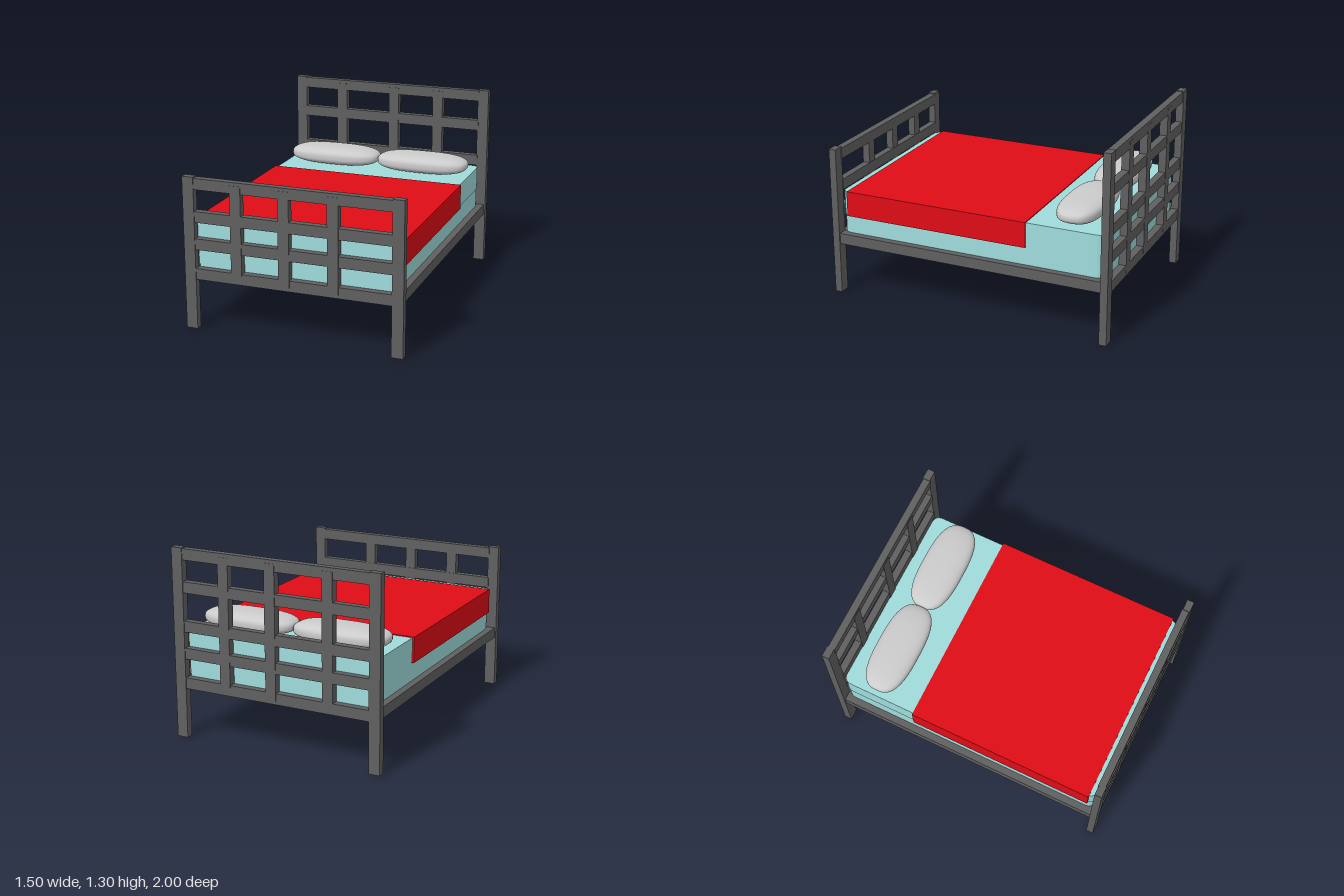
import * as THREE from 'three';

const material = (color) => new THREE.MeshStandardMaterial({ color });
const wood = material(0x606060);
const sheet = material(0xa0dcdc);
const red = material(0xe00c16);
const grey = material(0xcccccc);

// Box given by its lower and upper limits on each axis
function box(name, mat, [x0, x1], [y0, y1], [z0, z1]) {
  const mesh = new THREE.Mesh(new THREE.BoxGeometry(x1 - x0, y1 - y0, z1 - z0), mat);
  mesh.position.set((x0 + x1) / 2, (y0 + y1) / 2, (z0 + z1) / 2);
  mesh.name = name;
  return mesh;
}

// Lattice end: two posts, horizontal rails and upright slats
function endBoard(name, height, postZ, railZ, slatZ, rails, slats) {
  const group = new THREE.Group();
  group.name = name;
  for (const [x0, x1] of [[-0.75, -0.672], [0.672, 0.75]]) {
    group.add(box('post', wood, [x0, x1], [0, height], postZ));
  }
  for (const y of rails) {
    group.add(box('rail', wood, [-0.68, 0.68], [y, y + 0.075], railZ));
  }
  for (const x of slats) {
    group.add(box('slat', wood, [x, x + 0.075], [0.37, height - 0.03], slatZ));
  }
  return group;
}

// Slab with rounded corners in plan
function slab(name, halfX, halfZ, r, y0, y1) {
  const s = new THREE.Shape();
  s.moveTo(-halfX + r, -halfZ);
  s.lineTo(halfX - r, -halfZ);
  s.quadraticCurveTo(halfX, -halfZ, halfX, -halfZ + r);
  s.lineTo(halfX, halfZ - r);
  s.quadraticCurveTo(halfX, halfZ, halfX - r, halfZ);
  s.lineTo(-halfX + r, halfZ);
  s.quadraticCurveTo(-halfX, halfZ, -halfX, halfZ - r);
  s.lineTo(-halfX, -halfZ + r);
  s.quadraticCurveTo(-halfX, -halfZ, -halfX + r, -halfZ);
  const geo = new THREE.ExtrudeGeometry(s, { depth: y1 - y0, bevelEnabled: false, curveSegments: 8 });
  geo.rotateX(-Math.PI / 2);
  const mesh = new THREE.Mesh(geo, sheet);
  mesh.position.y = y0;
  mesh.name = name;
  return mesh;
}

// Pillow: sphere pushed out to a squarish, superelliptic form
function pillow(x) {
  const geo = new THREE.SphereGeometry(1, 48, 32);
  const pos = geo.attributes.position;
  const p = 2.8;
  for (let i = 0; i < pos.count; i++) {
    const v = new THREE.Vector3().fromBufferAttribute(pos, i);
    const n = Math.abs(v.x) ** p + Math.abs(v.y) ** p + Math.abs(v.z) ** p;
    v.multiplyScalar(n ** (-1 / p));
    pos.setXYZ(i, v.x * 0.336, v.y * 0.065, v.z * 0.15);
  }
  geo.computeVertexNormals();
  const mesh = new THREE.Mesh(geo, grey);
  mesh.position.set(x, 0.792, -0.7);
  mesh.name = 'pillow';
  return mesh;
}

export function createModel() {
  const bed = new THREE.Group();
  bed.name = 'bed';

  // Foot and head ends
  bed.add(endBoard('footboard', 1.04, [0.95, 1], [0.945, 0.995], [0.948, 0.998],
    [0.345, 0.55, 0.735, 0.957], [-0.42, -0.09, 0.243]));
  bed.add(endBoard('headboard', 1.3, [-1, -0.948], [-0.995, -0.945], [-0.997, -0.942],
    [0.345, 0.55, 0.735, 1.0, 1.22], [-0.42, -0.01, 0.33]));

  // Side rails
  bed.add(box('sideRail', wood, [-0.74, -0.67], [0.36, 0.435], [-0.96, 0.96]));
  bed.add(box('sideRail', wood, [0.67, 0.74], [0.36, 0.435], [-0.96, 0.96]));

  // Mattress in two layers
  bed.add(slab('mattressBase', 0.692, 0.945, 0.06, 0.405, 0.567));
  bed.add(slab('mattressTop', 0.695, 0.947, 0.06, 0.567, 0.73));

  // Blanket and pillows
  bed.add(box('blanket', red, [-0.708, 0.708], [0.56, 0.736], [-0.413, 0.904]));
  bed.add(pillow(-0.336), pillow(0.336));

  return bed;
}
